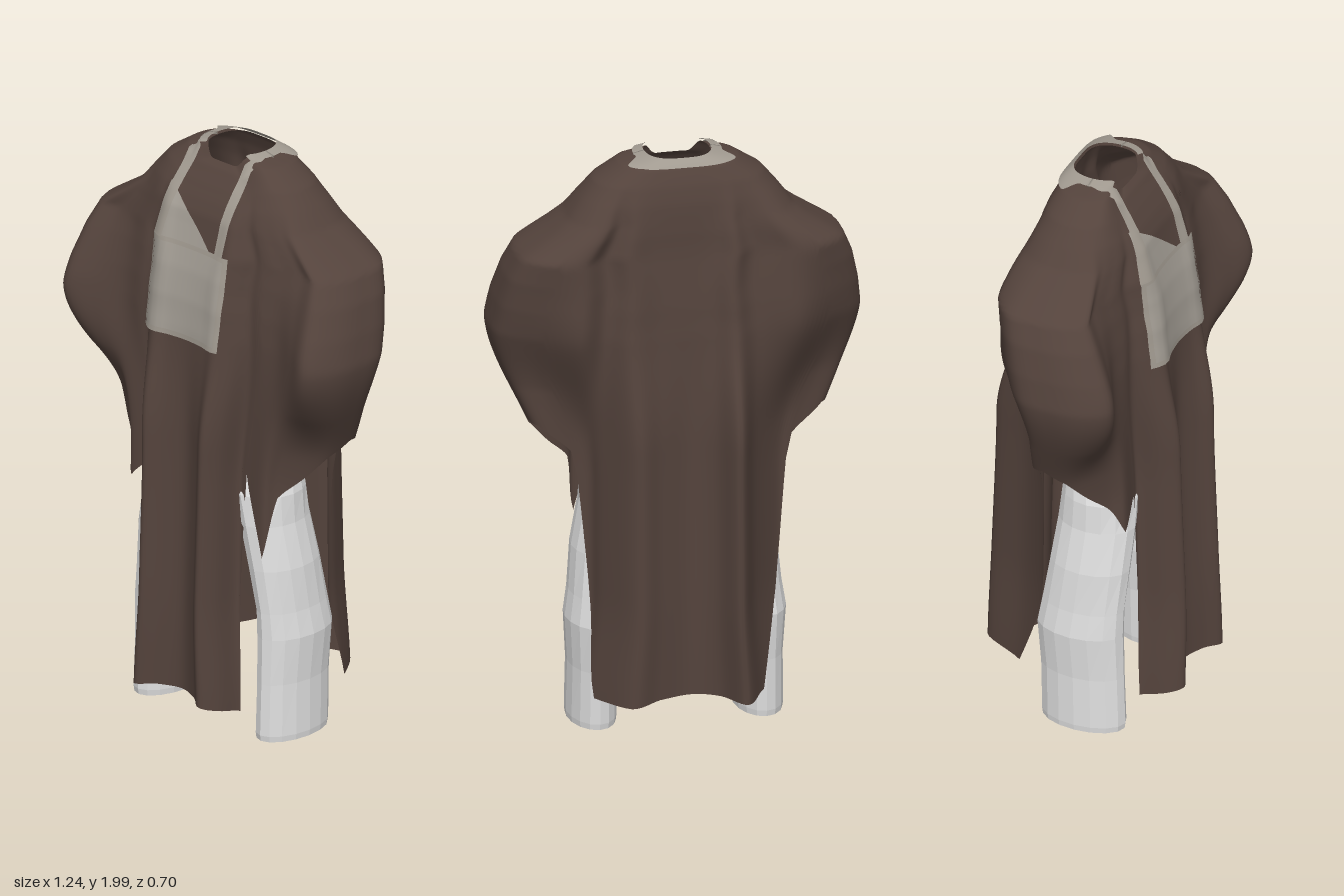
import * as THREE from 'three';

const mat = (name, color, extra = {}) => {
  const m = new THREE.MeshStandardMaterial({ color, side: THREE.DoubleSide, ...extra });
  m.name = name;
  return m;
};
const { lerp, smoothstep, clamp } = THREE.MathUtils;

// Grid surface: i runs around or to the right, j runs downwards
function sheet(nu, nv, fn, closed = false) {
  const pos = [], index = [], cols = closed ? nu : nu + 1;
  for (let j = 0; j <= nv; j++)
    for (let i = 0; i < cols; i++) pos.push(...fn(i / nu, j / nv).toArray());
  for (let j = 0; j < nv; j++)
    for (let i = 0; i < nu; i++) {
      const r = (i + 1) % cols, a = j * cols + i, d = j * cols + r;
      index.push(a, a + cols, d, a + cols, d + cols, d);
    }
  const g = new THREE.BufferGeometry();
  g.setAttribute('position', new THREE.Float32BufferAttribute(pos, 3));
  g.setIndex(index);
  g.computeVertexNormals();
  return g;
}

// Cape columns: x, z at the sleeves; x, z near the hem; hem height
const side = [
  [0, .25, 0, .28, .13], [.08, .255, .075, .31, .13], [.14, .265, .128, .35, .125],
  [.19, .235, .165, .30, .11], [.23, .2, .18, .215, .09], [.28, .2, .215, .21, .93],
  [.36, .19, .30, .22, .66], [.45, .215, .33, .18, .87], [.55, .25, .40, .13, .95],
  [.61, .15, .44, .08, 1.03], [.62, 0, .45, 0, 1.08], [.59, -.085, .43, -.05, 1.07],
  [.48, -.165, .36, -.07, .98], [.37, -.215, .31, -.09, .45],
];
const back = [
  [.28, -.17, .28, -.16, .14], [.2, -.215, .19, -.285, .14], [.1, -.195, .1, -.25, .15],
  [0, -.19, 0, -.22, .15], [-.08, -.2, -.08, -.26, .15], [-.15, -.235, -.145, -.355, .15],
  [-.23, -.19, -.22, -.2, .14],
];
const otherSide = side.slice(1).reverse().map(([a, b, c, d, h]) => [-a, b, -c, d, h]);
otherSide[7][4] = .78;   // hanging corner differs on this side
otherSide[8][4] = .87;
const columns = [...side, ...back, ...otherSide];
const N = columns.length;
const col = (i) => columns[((i % N) + N) % N];

// Closed smooth interpolation of one column value
function around(u, k) {
  const i = Math.floor(u), t = u - i;
  const [a, b, c, d] = [col(i - 1)[k], col(i)[k], col(i + 1)[k], col(i + 2)[k]];
  return b + .5 * t * (c - a + t * (2 * a - 5 * b + 4 * c - d + t * (3 * (b - c) + d - a)));
}
const hemAt = (u) => lerp(col(Math.floor(u))[4], col(Math.floor(u) + 1)[4], u - Math.floor(u));

// Height, half width, front depth, back depth
const profile = [
  [1.985, .11, .085, .09], [1.965, .2, .105, .115], [1.91, .285, .137, .14], [1.85, .335, .165, .16],
  [1.79, .38, .187, .175], [1.75, .435, .195, .185], [1.68, .545, .212, .197],
  [1.6, .58, .23, .208], [1.5, .605, .244, .222], [1.4, .62, .25, .23],
];
function profileAt(h, k) {
  if (h >= profile[0][0]) return profile[0][k];
  for (let i = 1; i < profile.length; i++) {
    const p = profile[i - 1], q = profile[i];
    if (h >= q[0]) return lerp(q[k], p[k], (h - q[0]) / (p[0] - q[0]));
  }
  return profile[profile.length - 1][k];
}

const TOP = 1.985;
function capePoint(u, h) {
  const tx = 1 - smoothstep(h, .88, 1.42), tz = 1 - smoothstep(h, 1.02, 1.47);
  const rx = around(u, 0) / .62, r = Math.min(Math.abs(rx), 1), mz = around(u, 1);
  // Columns spread evenly around a smooth oval towards the neck
  const f = Math.pow(r, lerp(1, .5, smoothstep(h, 1.55, 1.95)));
  const upperX = Math.sign(rx) * f * profileAt(h, 1);
  const depth = mz > 0 ? profileAt(h, 2) : profileAt(h, 3);
  // Sleeves lean back at the shoulder and forward at the cuff
  const lean = smoothstep(r, .5, .85) * .3 * (1.5 - clamp(h, 1.2, 1.68));
  const foldedZ = mz * depth / (mz > 0 ? .25 : .23) + lean;
  const ovalZ = Math.sign(mz) * depth * Math.sqrt(Math.max(0, 1 - f ** 4));
  const upperZ = lerp(foldedZ, ovalZ, smoothstep(h, 1.65, 1.94));
  // The long panels flare a little at the bottom
  const lowX = around(u, 2) * (1.14 - .14 * smoothstep(h, .05, .5));
  const lowZ = around(u, 3) * (1 - .07 * smoothstep(h, .2, 1.1));
  // The neckline dips at the middle of the chest
  const dip = mz > 0 ? .04 * (1 - smoothstep(r, .2, .75)) * smoothstep(h, 1.75, TOP) : 0;
  return new THREE.Vector3(lerp(upperX, lowX, tx), h - dip, lerp(upperZ, lowZ, tz));
}

// Point lifted slightly off the cape along its normal
function lifted(u, h, off) {
  const du = capePoint(u + .1, h).sub(capePoint(u - .1, h));
  const dh = capePoint(u, Math.min(h + .008, TOP)).sub(capePoint(u, h - .008));
  return capePoint(u, h).addScaledVector(du.cross(dh).normalize(), off);
}
// Same, found from a front x position
function onFront(x, h, off) {
  let a = -10, b = 10;
  for (let i = 0; i < 30; i++) {
    const m = (a + b) / 2;
    if (capePoint(m, h).x < x) a = m; else b = m;
  }
  return lifted((a + b) / 2, h, off);
}
// Four-sided patch on the chest: top y, bottom y, top x range, bottom x range
const patch = (y1, y0, t, b, off = .008) => sheet(16, 24, (i, j) =>
  onFront(lerp(lerp(t[0], t[1], i), lerp(b[0], b[1], i), j), lerp(y1, y0, j), off));

// Trouser rings: y, centre x, centre z, radius x, radius z
const legRings = [
  [.95, .15, .05, .13, .11], [.85, .19, .07, .118, .13], [.75, .22, .07, .094, .135],
  [.6, .253, .06, .09, .14], [.45, .275, .045, .08, .145], [.36, .28, .037, .089, .152],
  [.2, .28, .045, .079, .148], [.02, .28, .05, .082, .149], [0, .28, .05, .08, .146],
];
const hipRings = [
  [1.12, 0, .03, .25, .11], [1, 0, .035, .275, .12], [.88, 0, .045, .275, .12],
  [.8, 0, .06, .2, .1], [.75, 0, .06, 0, 0],
];
const loft = (rings, sign, sides) => sheet(sides, rings.length - 1, (i, j) => {
  const [y, cx, cz, rx, rz] = rings[Math.round(j * (rings.length - 1))];
  const a = i * Math.PI * 2;
  return new THREE.Vector3(sign * cx + rx * Math.sin(a), y, cz + rz * Math.cos(a));
}, true);

export function createModel() {
  const model = new THREE.Group();
  const brown = mat('brown cloth', 0x54433c);
  const white = mat('white cloth', 0xdfdfdf, { flatShading: true });
  const grey = mat('grey cloth', 0xa59f96);
  const trim = mat('grey trim', 0xa19a90);
  const add = (name, geometry, material) => {
    const m = new THREE.Mesh(geometry, material);
    m.name = name;
    model.add(m);
  };

  // Draped cape with long front and back panels
  add('cape', sheet(N * 6, 90, (i, j) => {
    const u = i * N;
    return capePoint(u, lerp(TOP, hemAt(u), Math.pow(j, 1.5)));
  }, true), brown);

  // Trousers
  add('leftLeg', loft(legRings, 1, 16), white);
  add('rightLeg', loft(legRings, -1, 16), white);
  add('hips', loft(hipRings, 1, 20), white);

  // Chest bib, flap and straps
  add('bib', patch(1.68, 1.37, [-.18, .155], [-.185, .15]), grey);
  add('bibFlap', patch(1.87, 1.68, [-.165, -.15], [-.18, .07]), grey);
  add('leftStrap', patch(1.978, 1.68, [.1, .138], [.093, .135]), trim);
  add('rightStrap', patch(1.978, 1.68, [-.145, -.105], [-.187, -.142], .01), trim);

  // Stitched bib border
  add('bibTopBorder', patch(1.685, 1.67, [-.185, .158], [-.185, .158], .011), trim);
  add('bibBottomBorder', patch(1.382, 1.365, [-.187, .153], [-.187, .153], .011), trim);
  add('bibLeftBorder', patch(1.68, 1.37, [.143, .158], [.138, .153], .011), trim);
  add('bibRightBorder', patch(1.68, 1.37, [-.185, -.17], [-.187, -.172], .011), trim);

  // Neck binding around the sides and back
  add('neckBinding', sheet(120, 4, (i, j) => {
    const u = lerp(6.5, N - 6.5, i);
    const edge = lerp(1.977, 1.962, smoothstep(-around(u, 1), .08, .19));
    return lifted(u, lerp(TOP, edge, j), .009);
  }), trim);
  return model;
}
